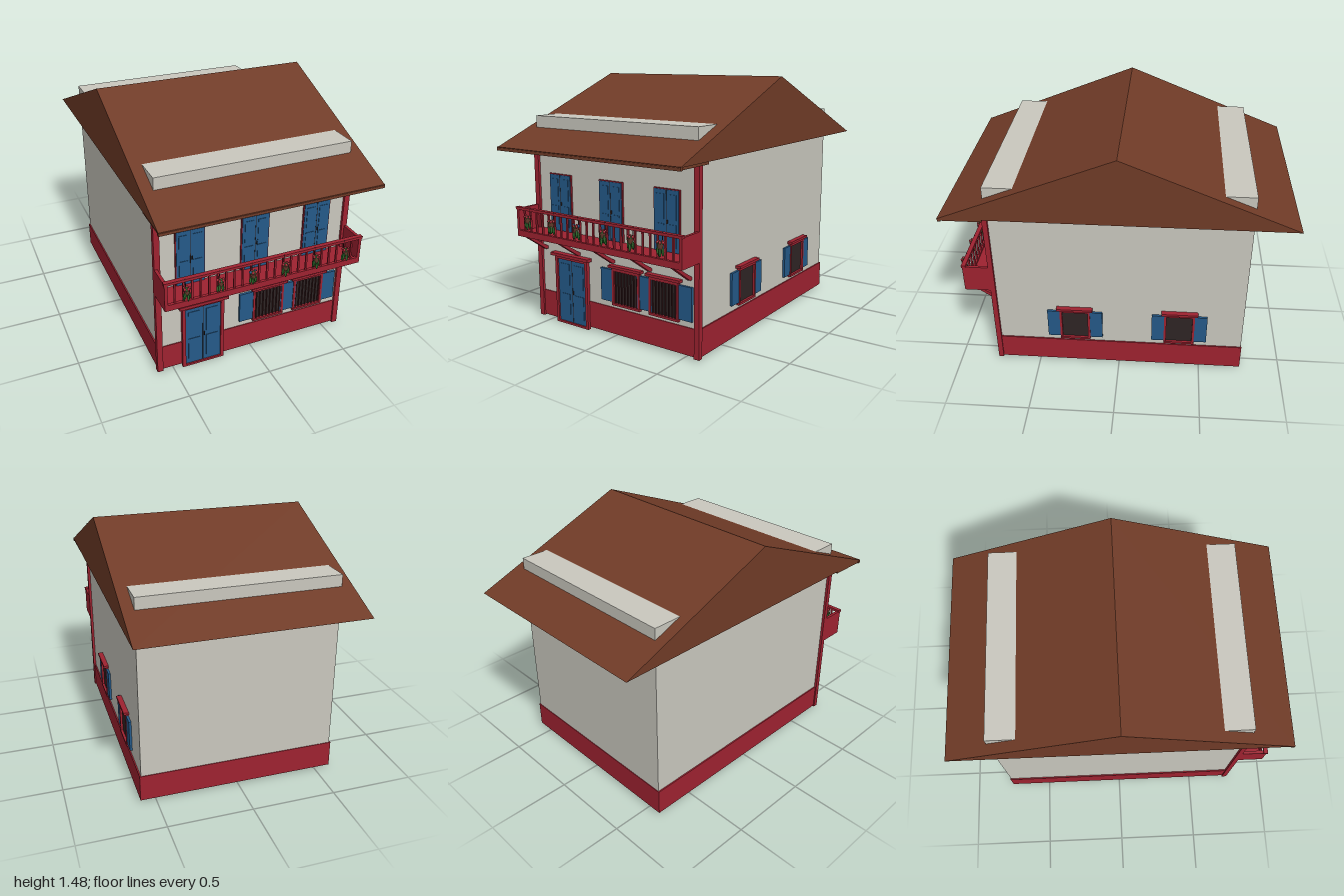
import * as THREE from 'three';

const mat = (name, color, side = THREE.FrontSide) => {
  const m = new THREE.MeshStandardMaterial({ color, side });
  m.name = name;
  return m;
};

export function createModel() {
  const house = new THREE.Group();
  house.name = 'house';
  const plaster = mat('plaster', 0xc9c7be);
  const red = mat('red trim', 0x9e2230);
  const blue = mat('blue paint', 0x245988);
  const brown = mat('roof brown', 0x703b27);
  const dark = mat('dark opening', 0x2e2424);
  const iron = mat('iron', 0x3a1a1c);
  const green = mat('leaf green', 0x2f6b2c);
  const terracotta = mat('pot brown', 0x6b4030);

  // Box given by its limits on each axis
  const box = (parent, name, m, x0, x1, y0, y1, z0, z1) => {
    const mesh = new THREE.Mesh(new THREE.BoxGeometry(x1 - x0, y1 - y0, z1 - z0), m);
    mesh.position.set((x0 + x1) / 2, (y0 + y1) / 2, (z0 + z1) / 2);
    mesh.name = name;
    parent.add(mesh);
    return mesh;
  };
  const group = (name, x = 0, y = 0, z = 0) => {
    const g = new THREE.Group();
    g.name = name;
    g.position.set(x, y, z);
    house.add(g);
    return g;
  };

  // Walls, plinth and corner posts
  box(house, 'walls', plaster, -0.584, 0.584, 0.015, 1.25, -0.75, 0.75);
  box(house, 'plinth', red, -0.592, 0.592, 0.016, 0.175, -0.754, 0.755);
  for (const s of [-1, 1]) {
    const post = box(house, 'cornerPost', red, -0.017, 0.017, 0.01, 1.08, 0.735, 0.765);
    post.position.x = s * 0.583;
  }

  // Gabled roof
  const gable = new THREE.Shape([
    new THREE.Vector2(-1, 1.08), new THREE.Vector2(1, 1.08), new THREE.Vector2(0, 1.482)]);
  const roofGeo = new THREE.ExtrudeGeometry(gable, { depth: 1.3, bevelEnabled: false });
  roofGeo.translate(0, 0, -0.65).rotateY(Math.PI / 2);
  const roof = new THREE.Mesh(roofGeo, brown);
  roof.name = 'roof';
  house.add(roof);

  // Front eave: rafters and edge beam
  const eave = group('eave');
  box(eave, 'edgeBeam', brown, -0.65, 0.65, 1.063, 1.084, 0.98, 0.998);
  for (let i = 0; i < 27; i++) {
    const x = -0.637 + i * 0.049;
    box(eave, 'rafter', brown, x - 0.009, x + 0.009, 1.066, 1.081, 0.75, 0.985);
  }

  // Blue double leaf with a dark seam, raised panels and handle
  const doubleLeaf = (g, w, y0, y1, z) => {
    box(g, 'doorLeaf', blue, -w / 2, w / 2, y0, y1, 0, z);
    box(g, 'doorSeam', dark, -0.0015, 0.0015, y0, y1, z, z + 0.001);
    for (const s of [-1, 1]) {
      const h = y1 - y0;
      for (const [a, b] of [[0.08, 0.45], [0.53, 0.93]]) {
        const p = box(g, 'doorPanel', blue, -w * 0.16, w * 0.16, y0 + a * h, y0 + b * h, z, z + 0.003);
        p.position.x = s * w * 0.25;
      }
    }
    box(g, 'doorHandle', dark, 0.006, 0.011, y0 + (y1 - y0) * 0.46, y0 + (y1 - y0) * 0.52, z, z + 0.006);
  };

  // Entrance door
  const door = group('entranceDoor', -0.318, 0, 0.75);
  for (const s of [-1, 1]) {
    box(door, 'doorJamb', red, -0.01, 0.01, 0, 0.415, 0, 0.022).position.x = s * 0.119;
  }
  box(door, 'doorHead', red, -0.129, 0.129, 0.402, 0.418, 0, 0.022);
  box(door, 'doorLintel', red, -0.15, 0.15, 0.42, 0.438, 0, 0.038);
  box(door, 'doorSill', red, -0.129, 0.129, 0, 0.013, 0, 0.022);
  doubleLeaf(door, 0.22, 0.013, 0.403, 0.013);

  // Balcony doors
  for (const x of [-0.392, -0.002, 0.388]) {
    const g = group('balconyDoor', x, 0, 0.75);
    box(g, 'balconyDoorFrame', red, -0.086, 0.086, 0.575, 0.916, 0, 0.01);
    doubleLeaf(g, 0.162, 0.575, 0.911, 0.014);
  }

  // Shuttered window facing +z of its own group
  const shutteredWindow = (g, w, sw, bars) => {
    const h = w / 2;
    box(g, 'windowPane', dark, -h + 0.005, h - 0.005, 0.2, 0.405, 0, 0.005);
    for (const s of [-1, 1]) {
      box(g, 'windowJamb', red, -0.007, 0.007, 0.196, 0.408, 0, 0.018).position.x = s * (h - 0.007);
      box(g, 'shutter', blue, -sw / 2, sw / 2, 0.212, 0.404, 0, 0.014).position.x = s * (h + sw / 2);
    }
    box(g, 'windowSill', red, -h, h, 0.196, 0.209, 0, 0.02);
    box(g, 'windowHead', red, -h, h, 0.4, 0.418, 0, 0.018);
    box(g, 'windowLintel', red, -h - 0.017, h + 0.017, 0.419, 0.434, 0, 0.031);
    for (let i = 0; i < bars; i++) {
      const x = -h + (i + 1) * w / (bars + 1);
      box(g, 'windowBar', iron, x - 0.003, x + 0.003, 0.209, 0.4, 0.009, 0.015);
    }
  };
  for (const x of [0.1, 0.366]) shutteredWindow(group('frontWindow', x, 0, 0.75), 0.2, 0.086, 8);
  for (const z of [0.267, -0.367]) {
    const g = group('sideWindow', 0.584, 0, z);
    g.rotation.y = Math.PI / 2;
    shutteredWindow(g, 0.184, 0.075, 0);
  }

  // Balcony slab, rails, balusters and closed ends
  const balcony = group('balcony');
  box(balcony, 'balconyFloor', red, -0.6, 0.6, 0.547, 0.572, 0.75, 0.918);
  box(balcony, 'bottomRail', red, -0.6, 0.6, 0.572, 0.584, 0.9, 0.918);
  box(balcony, 'topRail', red, -0.604, 0.604, 0.709, 0.725, 0.896, 0.922);
  for (const s of [-1, 1]) {
    box(balcony, 'balconyEnd', red, -0.009, 0.009, 0.547, 0.714, 0.76, 0.918).position.x = s * 0.591;
  }
  for (let i = 1; i < 24; i++) {
    const x = -0.59 + i * 1.18 / 24;
    box(balcony, 'baluster', red, x - 0.005, x + 0.005, 0.58, 0.712, 0.904, 0.914);
  }

  // Diagonal brackets beneath the balcony
  const strut = new THREE.Shape([[0.75, 0.443], [0.766, 0.443], [0.915, 0.548], [0.89, 0.548], [0.75, 0.459]]
    .map(([z, y]) => new THREE.Vector2(-z, y)));
  const strutGeo = new THREE.ExtrudeGeometry(strut, { depth: 0.022, bevelEnabled: false });
  strutGeo.translate(0, 0, -0.011).rotateY(Math.PI / 2);
  for (let i = 0; i < 5; i++) {
    const m = new THREE.Mesh(strutGeo, red);
    m.name = 'bracket';
    m.position.x = -0.535 + i * 0.267;
    balcony.add(m);
  }

  // Hanging flower pots
  const potGeo = new THREE.CylinderGeometry(0.019, 0.012, 0.03, 10);
  const ballGeo = new THREE.SphereGeometry(1, 8, 6);
  const ball = (g, name, m, x, y, z, rx, ry) => {
    const b = new THREE.Mesh(ballGeo, m);
    b.name = name;
    b.position.set(x, y, z);
    b.scale.set(rx, ry, rx);
    g.add(b);
  };
  [-0.485, -0.292, -0.1, 0.097, 0.29, 0.482].forEach((x, n) => {
    const g = group('flowerPot', x, 0, 0.94);
    const pot = new THREE.Mesh(potGeo, terracotta);
    pot.name = 'pot';
    pot.position.y = 0.658;
    g.add(pot);
    box(g, 'potHook', iron, -0.002, 0.002, 0.67, 0.727, -0.022, -0.018);
    for (let i = 0; i < 5; i++) {
      const a = i * Math.PI * 0.4 + n;
      const c = Math.cos(a), s = Math.sin(a);
      ball(g, 'leaf', green, c * 0.016, 0.632 + 0.008 * Math.sin(3 * a), s * 0.011, 0.007, 0.023);
      ball(g, 'flower', n === 2 && i % 2 ? blue : red, c * 0.017, 0.681, s * 0.012, 0.008, 0.009);
    }
    ball(g, 'foliage', green, 0, 0.675, 0, 0.017, 0.01);
  });

  return house;
}
